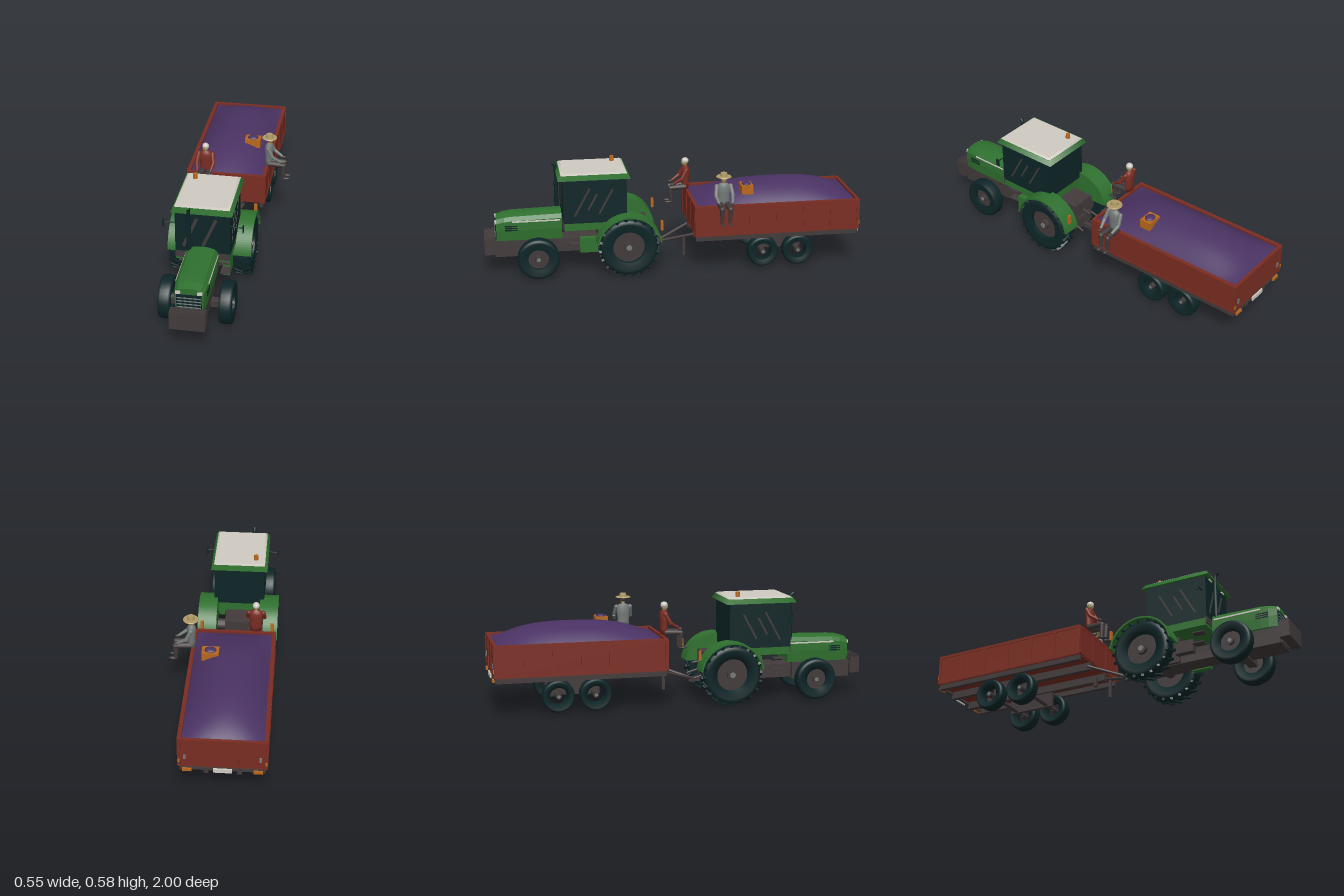
import * as THREE from 'three';
import { mergeGeometries } from 'three/addons/utils/BufferGeometryUtils.js';

const mat = (name, color, side = THREE.FrontSide) => {
  const m = new THREE.MeshStandardMaterial({ color, side });
  m.name = name;
  return m;
};

export function createModel() {
  const green = mat('green paint', 0x2f702f), red = mat('rust red', 0x7a2d22);
  const purple = mat('purple grapes', 0x4a3263, THREE.DoubleSide), dark = mat('dark teal rubber and glass', 0x0d2527);
  const brown = mat('brown grey metal', 0x423a3b), orange = mat('orange', 0xb8681c);
  const white = mat('off white', 0xcfcbc2), tan = mat('straw and skin', 0xb09a66), grey = mat('grey cloth', 0x747a78);

  const root = new THREE.Group();
  const vehicle = new THREE.Group();
  vehicle.name = 'tractorAndTrailer';
  vehicle.position.x = -0.059;
  root.add(vehicle);

  const add = (name, geo, m, x = 0, y = 0, z = 0, parent = vehicle) => {
    const mesh = new THREE.Mesh(geo, m);
    mesh.name = name;
    mesh.position.set(x, y, z);
    parent.add(mesh);
    return mesh;
  };
  // Box given by its limits on each axis
  const box = (name, m, x0, x1, y0, y1, z0, z1, parent) => add(name,
    new THREE.BoxGeometry(x1 - x0, y1 - y0, z1 - z0), m, (x0 + x1) / 2, (y0 + y1) / 2, (z0 + z1) / 2, parent);
  // Round bar between two points
  const limb = (name, m, a, b, r0, r1 = r0, parent = vehicle) => {
    const p = new THREE.Vector3(...a), q = new THREE.Vector3(...b), d = q.clone().sub(p);
    const mesh = add(name, new THREE.CylinderGeometry(r1, r0, d.length(), 12), m, 0, 0, 0, parent);
    mesh.position.copy(p).add(q).multiplyScalar(0.5);
    mesh.quaternion.setFromUnitVectors(new THREE.Vector3(0, 1, 0), d.normalize());
    return mesh;
  };
  // Side outline (z, y) extruded across x
  const sideExtrude = (shape, width) => new THREE.ExtrudeGeometry(shape, { depth: width, bevelEnabled: false, curveSegments: 20 })
    .translate(0, 0, -width / 2).rotateY(-Math.PI / 2);

  // Tyre with hub; lugs are slanted bars on both halves of the tread
  function wheel(name, x, y, z, r, w, hole, rim, lugs) {
    const g = new THREE.Group();
    g.name = name;
    g.position.set(x, y, z);
    vehicle.add(g);
    const h = w / 2, b = r * 0.1;
    const profile = [[hole, -h * 0.8], [r - b * 1.6, -h], [r - b * 0.5, -h * 0.92], [r, -h * 0.6], [r, h * 0.6], [r - b * 0.5, h * 0.92],
      [r - b * 1.6, h], [hole, h * 0.8], [hole, -h * 0.8]].map(p => new THREE.Vector2(...p));
    add('tyre', new THREE.LatheGeometry(profile, 36).rotateZ(Math.PI / 2), dark, 0, 0, 0, g);
    if (rim) add('rim', new THREE.CylinderGeometry(hole * 1.02, hole * 1.02, w * 0.3, 28).rotateZ(Math.PI / 2), rim, 0, 0, 0, g);
    add('hub', new THREE.CylinderGeometry(r * 0.18, r * 0.18, w * 0.8, 14).rotateZ(Math.PI / 2), brown, 0, 0, 0, g);
    add('hubCap', new THREE.CylinderGeometry(r * 0.1, r * 0.1, w * 0.9, 10).rotateZ(Math.PI / 2), grey, 0, 0, 0, g);
    if (lugs) {
      const bars = [];
      for (let i = 0; i < lugs; i++) for (const s of [-1, 1]) {
        bars.push(new THREE.BoxGeometry(h * 1.1, r * 0.09, r * 0.09).rotateY(s * 0.55)
          .translate(s * h * 0.5, r, 0).rotateX((i + (s > 0 ? 0.5 : 0)) / lugs * Math.PI * 2));
      }
      add('treadLugs', mergeGeometries(bars), dark, 0, 0, 0, g);
    }
  }
  for (const s of [-1, 1]) {
    wheel('rearWheel', s * 0.168, 0.163, 0.248, 0.153, 0.086, 0.085, brown, 20);
    wheel('frontWheel', s * 0.151, 0.113, 0.722, 0.109, 0.066, 0.055, brown, 0);
    for (const z of [-0.475, -0.667]) wheel('trailerWheel', s * 0.168, 0.096, z, 0.083, 0.066, 0.046, null, 0);
  }

  // Chassis, axles and front weights
  box('chassis', brown, -0.05, 0.05, 0.107, 0.18, 0.12, 0.95);
  box('rearHousing', brown, -0.07, 0.07, 0.11, 0.262, 0.13, 0.4);
  box('frontAxle', brown, -0.13, 0.13, 0.09, 0.12, 0.7, 0.745);
  box('frontCradle', brown, -0.068, 0.068, 0.1, 0.19, 0.62, 0.945);
  limb('rearAxle', brown, [-0.14, 0.163, 0.248], [0.14, 0.163, 0.248], 0.03);
  box('frontWeights', brown, -0.086, 0.086, 0.12, 0.205, 0.945, 1);
  for (const z of [0.955, 0.975, 0.992]) box('weightRib', brown, -0.088, 0.088, 0.125, 0.215, z - 0.004, z + 0.004);
  box('fuelTank', green, 0.088, 0.122, 0.12, 0.2, 0.4, 0.5);
  box('batteryBox', brown, -0.12, -0.086, 0.13, 0.195, 0.4, 0.5);
  for (const s of [-1, 1]) for (const y of [0.165, 0.222])
    box('cabStep', brown, s * 0.105 - 0.022, s * 0.105 + 0.022, y, y + 0.006, 0.5, 0.56);

  // Hood: arched section narrowing at the nose
  const half = [[0.076, 0.192], [0.08, 0.25], [0.079, 0.306], [0.062, 0.326], [0.03, 0.334]];
  const hoodShape = new THREE.Shape([...half, [0, 0.336], ...half.slice().reverse().map(([x, y]) => [-x, y])]
    .map(p => new THREE.Vector2(...p)));
  const hoodGeo = new THREE.ExtrudeGeometry(hoodShape, { depth: 0.345, steps: 8, bevelEnabled: false });
  const hp = hoodGeo.attributes.position;
  for (let i = 0; i < hp.count; i++) {
    const t = hp.getZ(i) / 0.345, nose = Math.max(0, (t - 0.75) / 0.25);
    hp.setX(i, hp.getX(i) * (1 - 0.13 * nose * nose));
    if (hp.getY(i) > 0.28) hp.setY(i, hp.getY(i) - 0.008 * t - 0.014 * nose * nose);
  }
  hoodGeo.computeVertexNormals();
  add('hood', hoodGeo, green, 0, 0, 0.59);
  box('grille', dark, -0.061, 0.061, 0.197, 0.28, 0.934, 0.94);
  for (let i = 0; i < 4; i++) box('grilleBar', grey, -0.058, 0.058, 0.21 + i * 0.017, 0.215 + i * 0.017, 0.939, 0.943);
  for (const s of [-1, 1]) {
    box('headlight', white, s * 0.053 - 0.012, s * 0.053 + 0.012, 0.284, 0.299, 0.934, 0.941);
    box('hoodStripe', white, s * 0.08 - 0.002, s * 0.08 + 0.002, 0.292, 0.3, 0.6, 0.85);
    for (let i = 0; i < 3; i++) box('sideVent', dark, s * 0.077 - 0.003, s * 0.077 + 0.003, 0.246 + i * 0.011, 0.253 + i * 0.011, 0.825, 0.89);
  }

  // Cab with roof, glass streaks and pipes
  box('cabBase', green, -0.136, 0.136, 0.25, 0.305, 0.25, 0.58);
  box('cabFrontPanel', brown, -0.137, 0.137, 0.262, 0.3, 0.58, 0.586);
  box('cabGlass', dark, -0.137, 0.137, 0.29, 0.53, 0.25, 0.585);
  const roofGeo = new THREE.CylinderGeometry(0.92 * Math.SQRT1_2, Math.SQRT1_2, 1, 4).rotateY(Math.PI / 4);
  add('roof', roofGeo, green, 0, 0.54, 0.42).scale.set(0.305, 0.025, 0.38);
  add('roofTop', roofGeo, white, 0, 0.556, 0.42).scale.set(0.278, 0.009, 0.35);
  for (const s of [-1, 1]) {
    box('roofLamp', white, s * 0.08 - 0.015, s * 0.08 + 0.015, 0.521, 0.528, 0.582, 0.592);
    for (const [z, l] of [[0.485, 0.17], [0.36, 0.15], [0.43, 0.1]])
      add('sideGlassStreak', new THREE.BoxGeometry(0.003, l, 0.01), brown, s * 0.137, 0.405, z).rotation.x = -0.5;
    limb('mirrorArm', dark, [s * 0.13, 0.448, 0.565], [s * 0.2, 0.448, 0.565], 0.003);
    box('mirror', dark, s * 0.2 - 0.003, s * 0.2 + 0.003, 0.422, 0.46, 0.555, 0.575);
  }
  for (const [x, y, l] of [[-0.062, 0.409, 0.175], [0.036, 0.415, 0.165]])
    add('frontGlassStreak', new THREE.BoxGeometry(0.016, l, 0.003), brown, x, y, 0.5855).rotation.z = -0.41;
  const pipe = new THREE.CatmullRomCurve3([[0.3, 0.608], [0.42, 0.608], [0.53, 0.608], [0.555, 0.611], [0.568, 0.625]]
    .map(([y, z]) => new THREE.Vector3(-0.063, y, z)));
  add('exhaust', new THREE.TubeGeometry(pipe, 24, 0.009, 12), dark);
  add('exhaustMuffler', new THREE.CylinderGeometry(0.011, 0.011, 0.14, 14), dark, -0.063, 0.4, 0.608);
  add('beacon', new THREE.CylinderGeometry(0.011, 0.013, 0.026, 12), orange, -0.087, 0.573, 0.305);

  // Rear fenders: arched shell with an inner wall
  const arc = (r0, r1) => {
    const s = new THREE.Shape();
    s.absarc(0, 0, r1, 0.15, Math.PI - 0.15, false);
    if (r0) s.absarc(0, 0, r0, Math.PI - 0.15, 0.15, true);
    return s;
  };
  for (const s of [-1, 1]) {
    add('rearFender', sideExtrude(arc(0.164, 0.173), 0.1), green, s * 0.167, 0.163, 0.245);
    add('fenderInnerWall', sideExtrude(arc(0, 0.168), 0.008), green, s * 0.12, 0.163, 0.245);
    box('tailLamp', orange, s * 0.19 - 0.009, s * 0.19 + 0.009, 0.25, 0.3, 0.066, 0.078);
    limb('liftArm', brown, [s * 0.07, 0.17, 0.2], [s * 0.075, 0.13, 0.07], 0.006);
    // Drawbar legs
    limb('drawbar', brown, [0, 0.113, 0.085], [s * 0.095, 0.183, -0.12], 0.008);
  }
  box('hitch', brown, -0.012, 0.012, 0.1, 0.125, 0.06, 0.2);
  limb('topLink', brown, [0, 0.22, 0.2], [0, 0.2, 0.08], 0.006);
  box('parkingLeg', brown, 0.05, 0.064, 0.05, 0.15, -0.072, -0.058);
  box('legBracket', brown, 0.045, 0.065, 0.13, 0.18, -0.16, -0.145);

  // Trailer body
  const W = 0.212, ZF = -0.108, ZB = -0.985;
  box('trailerFloor', red, -W, W, 0.205, 0.218, ZB, ZF);
  for (const s of [-1, 1]) {
    box('trailerSide', red, s * (W - 0.006) - 0.006, s * (W - 0.006) + 0.006, 0.21, 0.37, ZB, ZF);
    box('sideTopRail', red, s * 0.206 - 0.01, s * 0.206 + 0.01, 0.358, 0.373, ZB - 0.005, ZF + 0.005);
    box('sideBottomRail', red, s * 0.21 - 0.005, s * 0.21 + 0.005, 0.208, 0.222, ZB, ZF);
    for (let i = 0; i < 7; i++) {
      const z = ZF + (ZB - ZF) * i / 6;
      box('sideRib', red, s * 0.211 - 0.005, s * 0.211 + 0.005, 0.21, 0.365, z - 0.007, z + 0.007);
    }
    box('edgeRail', brown, s * 0.195 - 0.01, s * 0.195 + 0.01, 0.178, 0.206, ZB, ZF);
    box('frameRail', brown, s * 0.08 - 0.012, s * 0.08 + 0.012, 0.165, 0.206, ZB, ZF);
    box('axleHanger', brown, s * 0.09 - 0.01, s * 0.09 + 0.01, 0.085, 0.17, -0.7, -0.44);
    box('rearLamp', orange, s * 0.17 - 0.022, s * 0.17 + 0.022, 0.183, 0.198, -0.999, -0.985);
    box('sideMarker', orange, s * 0.208 - 0.005, s * 0.208 + 0.005, 0.235, 0.255, -0.997, -0.985);
    box('tailgateLatch', grey, s * 0.18 - 0.006, s * 0.18 + 0.006, 0.255, 0.28, -0.996, -0.985);
  }
  for (const [z, d] of [[ZF, 1], [ZB, -1]]) {
    box('endWall', red, -W, W, 0.21, 0.37, z - 0.006, z + 0.006);
    box('endTopRail', red, -W, W, 0.358, 0.373, z - 0.008, z + 0.008);
    for (const x of [-0.205, -0.07, 0.07, 0.205]) box('endRib', red, x - 0.007, x + 0.007, 0.21, 0.365, z + d * 0.006 - 0.004, z + d * 0.006 + 0.004);
  }
  box('numberPlate', white, -0.045, 0.045, 0.18, 0.202, -0.998, -0.99);
  box('rearBumper', brown, -0.2, 0.2, 0.186, 0.2, -0.989, -0.975);
  for (const z of [-0.475, -0.667]) limb('trailerAxle', brown, [-0.17, 0.096, z], [0.17, 0.096, z], 0.011);

  // Heaped load, domed across and flat-topped along
  const heap = new THREE.PlaneGeometry(0.4, 0.865, 24, 40).rotateX(-Math.PI / 2);
  const pos = heap.attributes.position;
  for (let i = 0; i < pos.count; i++) {
    const u = Math.abs(pos.getX(i) / 0.2), w = pos.getZ(i) / 0.4325;
    const along = w > 0 ? 1 - w ** 2.4 : 1 - Math.abs(w) ** 3.2;
    pos.setY(i, 0.36 + 0.094 * (1 - u ** 2.1) * along);
  }
  heap.computeVertexNormals();
  add('grapeHeap', heap, purple, 0, 0, -0.547);

  // Crate of fruit on the heap
  box('crate', orange, 0.062, 0.148, 0.408, 0.455, -0.425, -0.362);
  add('crateFruit', new THREE.SphereGeometry(0.028, 16, 8), purple, 0.105, 0.455, -0.394).scale.set(1.1, 0.45, 0.9);

  // Seated worker, facing local +z with the hips at the origin
  function worker(name, shirt, x, y, z, turn, headY) {
    const g = new THREE.Group();
    g.name = name;
    g.position.set(x, y, z);
    g.rotation.y = turn;
    root.add(g);
    const torso = [[0, -0.012], [0.03, -0.01], [0.031, 0.02], [0.033, 0.06], [0.037, 0.095], [0.022, 0.113], [0, 0.117]].map(p => new THREE.Vector2(...p));
    add('torso', new THREE.LatheGeometry(torso, 18), shirt, 0, 0, 0, g).scale.z = 0.62;
    limb('neck', tan, [0, 0.108, 0], [0, 0.13, 0.003], 0.009, 0.009, g);
    add('head', new THREE.SphereGeometry(0.018, 16, 12), tan, 0, headY, 0.004, g).scale.set(0.85, 1.2, 1);
    for (const s of [-1, 1]) {
      limb('thigh', brown, [s * 0.017, 0, 0], [s * 0.022, -0.003, 0.085], 0.017, 0.013, g);
      add('knee', new THREE.SphereGeometry(0.0135, 12, 8), brown, s * 0.022, -0.004, 0.085, g);
      limb('shin', brown, [s * 0.022, -0.003, 0.085], [s * 0.021, -0.08, 0.082], 0.013, 0.009, g);
      add('shoe', new THREE.SphereGeometry(0.011, 12, 8), brown, s * 0.021, -0.083, 0.096, g).scale.set(0.9, 0.6, 2.1);
      add('shoulder', new THREE.SphereGeometry(0.012, 12, 8), shirt, s * 0.037, 0.098, 0, g);
      limb('upperArm', shirt, [s * 0.037, 0.098, 0], [s * 0.045, 0.052, 0.025], 0.012, 0.01, g);
      limb('forearm', shirt, [s * 0.045, 0.052, 0.025], [s * 0.035, 0.022, 0.07], 0.01, 0.007, g);
      add('hand', new THREE.SphereGeometry(0.008, 10, 8), brown, s * 0.034, 0.019, 0.078, g).scale.z = 1.5;
    }
    return g;
  }
  const hatWorker = worker('workerWithHat', grey, 0.155, 0.386, -0.25, Math.PI / 2, 0.139);
  add('hair', new THREE.SphereGeometry(0.0175, 14, 10), brown, 0, 0.141, -0.002, hatWorker).scale.set(0.92, 0.9, 0.95);
  add('hatBrim', new THREE.CylinderGeometry(0.038, 0.041, 0.004, 24), tan, 0, 0.151, 0.002, hatWorker);
  add('hatCrown', new THREE.CylinderGeometry(0.017, 0.02, 0.02, 20), tan, 0, 0.161, 0.002, hatWorker);
  const capWorker = worker('workerWithCap', red, -0.168, 0.392, -0.1, 0, 0.135);
  add('cap', new THREE.SphereGeometry(0.0195, 16, 10), white, 0, 0.142, 0.001, capWorker).scale.set(0.95, 0.9, 1);

  return root;
}
